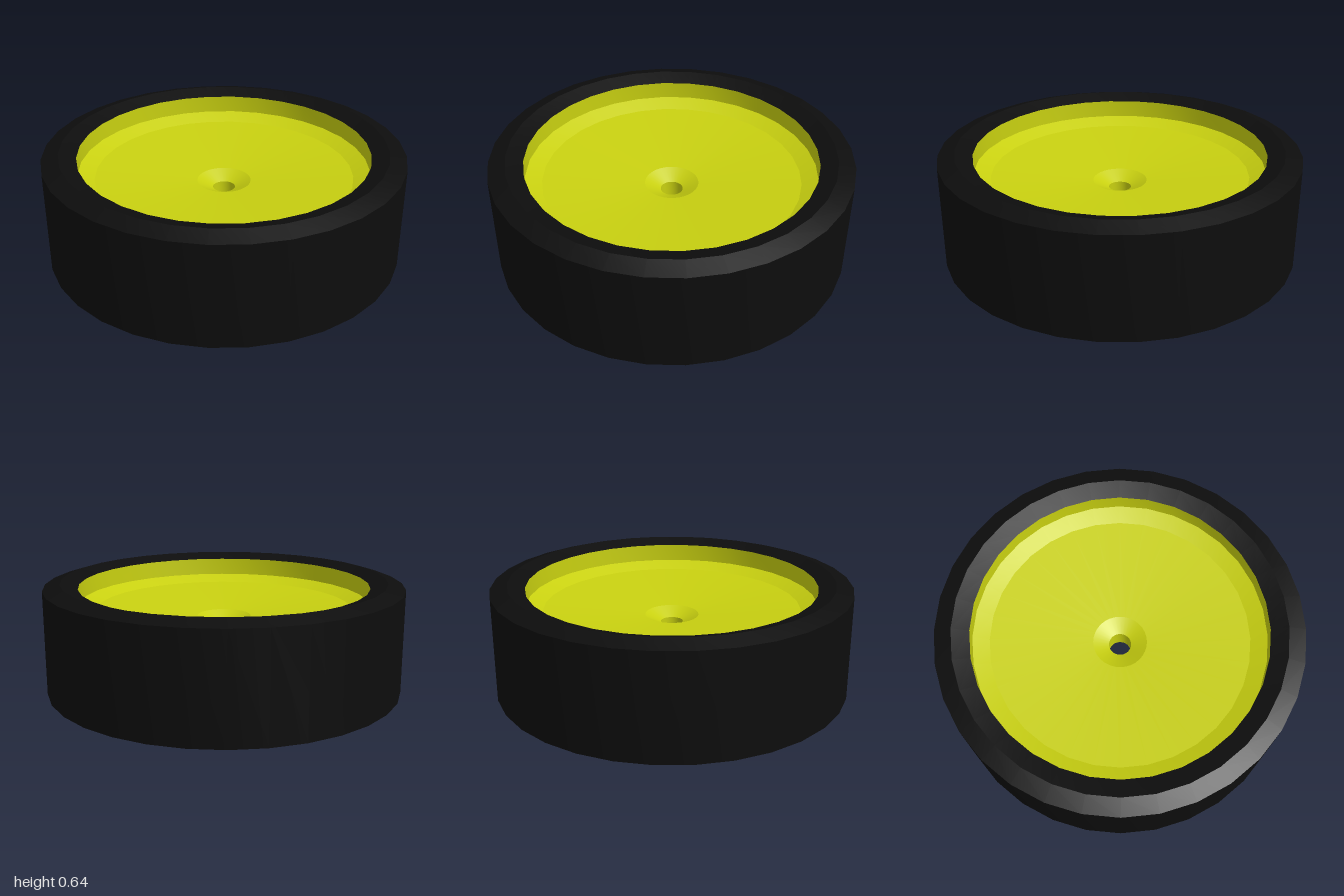
import * as THREE from 'three';
import { toCreasedNormals } from 'three/addons/utils/BufferGeometryUtils.js';

const MID = 0.32; // half of the wheel's height
const SIDES = 32;

// Mirrors the upper half of a profile ([radius, height above the middle]) and spins it
function spin(name, upper, color) {
  const lower = upper.map(([r, h]) => [r, -h]).reverse();
  return { name, color, upper, lower };
}

function lathe({ name, color }, profile) {
  const points = profile.map(([r, h]) => new THREE.Vector2(r, MID + h));
  const geometry = toCreasedNormals(new THREE.LatheGeometry(points, SIDES), 0.24);
  const mesh = new THREE.Mesh(geometry, new THREE.MeshStandardMaterial({ color }));
  mesh.name = name;
  return mesh;
}

export function createModel() {
  const group = new THREE.Group();
  group.name = 'wheel';

  // Tyre: straight tread with a shallow ridge on each sidewall
  const tyre = spin('tyre', [[1, 0.29], [0.905, 0.32], [0.81, 0.29]], 0x0d0d0d);
  group.add(lathe(tyre, [...tyre.lower, ...tyre.upper]));

  // Rim: inner wall, sloped ring, shallow dish, hub funnel and axle hole
  const rim = spin('rim', [
    [0.81, 0.29], [0.81, 0.19], [0.72, 0.155], [0.15, 0.108], [0.062, 0.065],
  ], 0xc8d010);
  group.add(lathe(rim, [...rim.upper, ...rim.lower]));

  return group;
}
